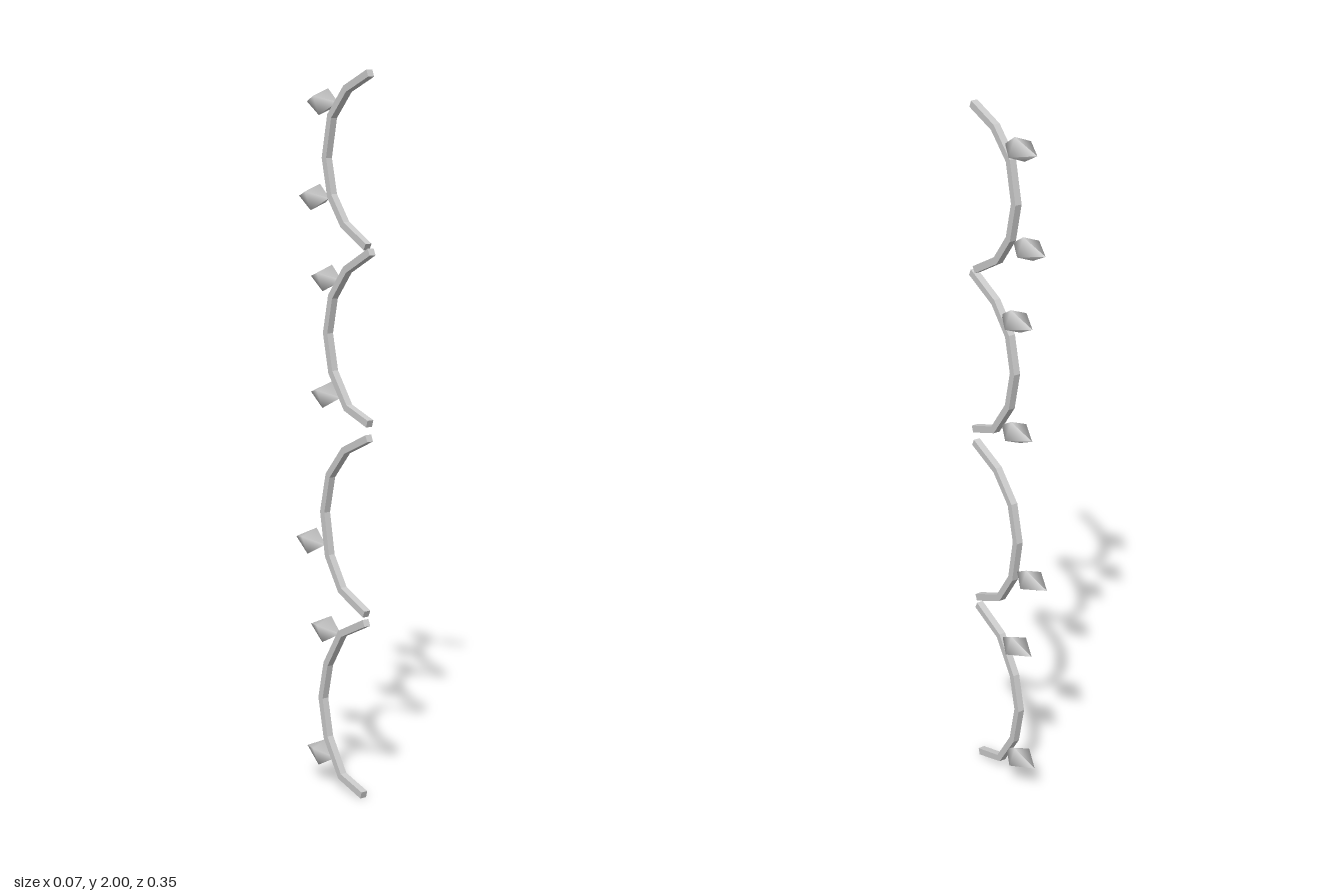
import * as THREE from 'three';

const HALF_WIDTH = 0.01;
const material = new THREE.MeshStandardMaterial({ color: 0xcccccc, side: THREE.DoubleSide });

// Bowed stems from bottom to top, as [z, y] joints
const STEMS = [
  [[0.145, 0.01], [0.045, 0.038], [-0.021, 0.136], [-0.045, 0.246], [-0.021, 0.35], [0.045, 0.452], [0.155, 0.505]],
  [[0.155, 0.53], [0.045, 0.577], [-0.014, 0.664], [-0.036, 0.785], [-0.011, 0.892], [0.06, 0.972], [0.165, 1.02]],
  [[0.167, 1.06], [0.07, 1.092], [0.002, 1.183], [-0.022, 1.288], [0.001, 1.39], [0.066, 1.468], [0.173, 1.523]],
  [[0.155, 1.535], [0.055, 1.589], [-0.003, 1.664], [-0.027, 1.765], [-0.003, 1.877], [0.066, 1.95], [0.165, 1.991]],
];

// Widest points of the leaves, as [z, y]
const LEAVES = [
  [-0.046, 0.085], [-0.028, 0.449], [-0.098, 0.691], [-0.026, 1.116],
  [-0.025, 1.439], [-0.08, 1.657], [-0.042, 1.915],
];

// Samples by joint rather than by length, so the stem bends exactly at the joints
class JointedCurve extends THREE.CatmullRomCurve3 {
  getPointAt(u, target) { return this.getPoint(u, target); }
  getTangentAt(u, target) { return this.getTangent(u, target); }
}

// Square bar swept along its joints, with flat cut ends
function createStem(joints) {
  const section = new THREE.Shape([[-1, -1], [1, -1], [1, 1], [-1, 1]].map(
    ([a, b]) => new THREE.Vector2(a * HALF_WIDTH, b * HALF_WIDTH)));
  const extrudePath = new JointedCurve(joints.map(([z, y]) => new THREE.Vector3(0, y, z)));
  const geometry = new THREE.ExtrudeGeometry(section, { steps: joints.length - 1, extrudePath });
  const stem = new THREE.Mesh(geometry, material);
  stem.name = 'stem';
  return stem;
}

// Four-sided pointed leaf lying along z, its longer point at the back
function createLeafGeometry() {
  const profile = [[0, -0.076], [0.039, 0], [0, 0.065]].map(([r, y]) => new THREE.Vector2(r, y));
  const geometry = new THREE.LatheGeometry(profile, 4);
  geometry.rotateX(Math.PI / 2);
  geometry.rotateZ(-0.42);
  return geometry;
}

export function createModel() {
  const model = new THREE.Group();
  model.name = 'vine';
  STEMS.forEach((joints) => model.add(createStem(joints)));

  const leafGeometry = createLeafGeometry();
  for (const [z, y] of LEAVES) {
    const leaf = new THREE.Mesh(leafGeometry, material);
    leaf.name = 'leaf';
    leaf.position.set(0, y, z);
    model.add(leaf);
  }
  return model;
}
